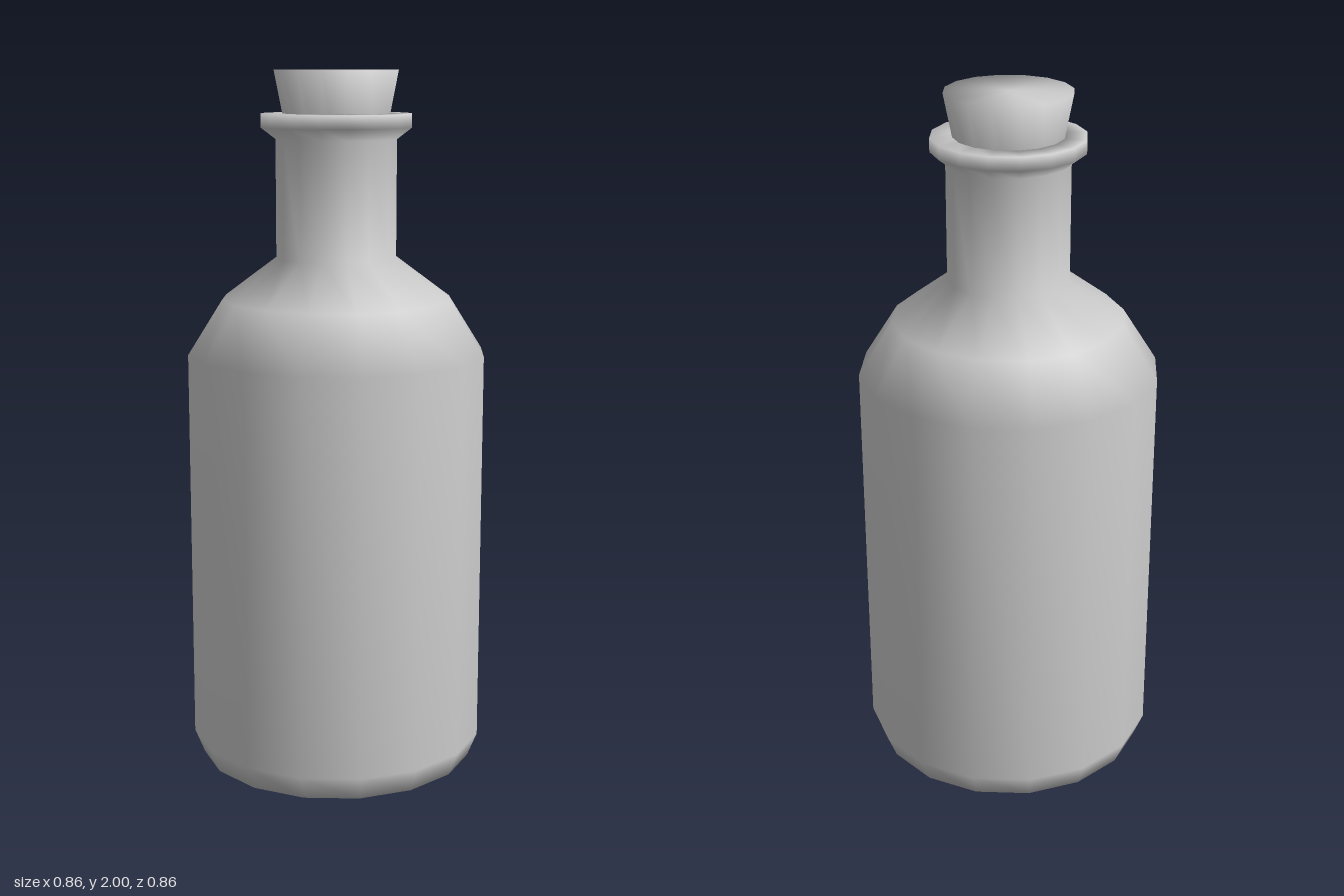
import * as THREE from 'three';

const SIDES = 16;

// Turn a [radius, height] profile, listed from bottom to top, around the y axis
function turned(name, profile) {
  const points = profile.map(([r, y]) => new THREE.Vector2(r, y));
  const material = new THREE.MeshStandardMaterial({ color: 0xcccccc });
  const mesh = new THREE.Mesh(new THREE.LatheGeometry(points, SIDES), material);
  mesh.name = name;
  return mesh;
}

export function createModel() {
  const group = new THREE.Group();
  group.name = 'corkedBottle';

  // Bottle: base, chamfer, straight wall, shoulder, neck, flared lip and inner neck
  group.add(turned('bottle', [
    [0, 0], [0.4, 0], [0.428, 0.07], [0.428, 1.205],
    [0.33, 1.36], [0.173, 1.477], [0.173, 1.81],
    [0.215, 1.842], [0.215, 1.88], [0.145, 1.88], [0.14, 1.72],
  ]));

  // Tapered cork, seated in the neck
  group.add(turned('cork', [
    [0, 1.72], [0.122, 1.72], [0.177, 2], [0, 2],
  ]));

  return group;
}
